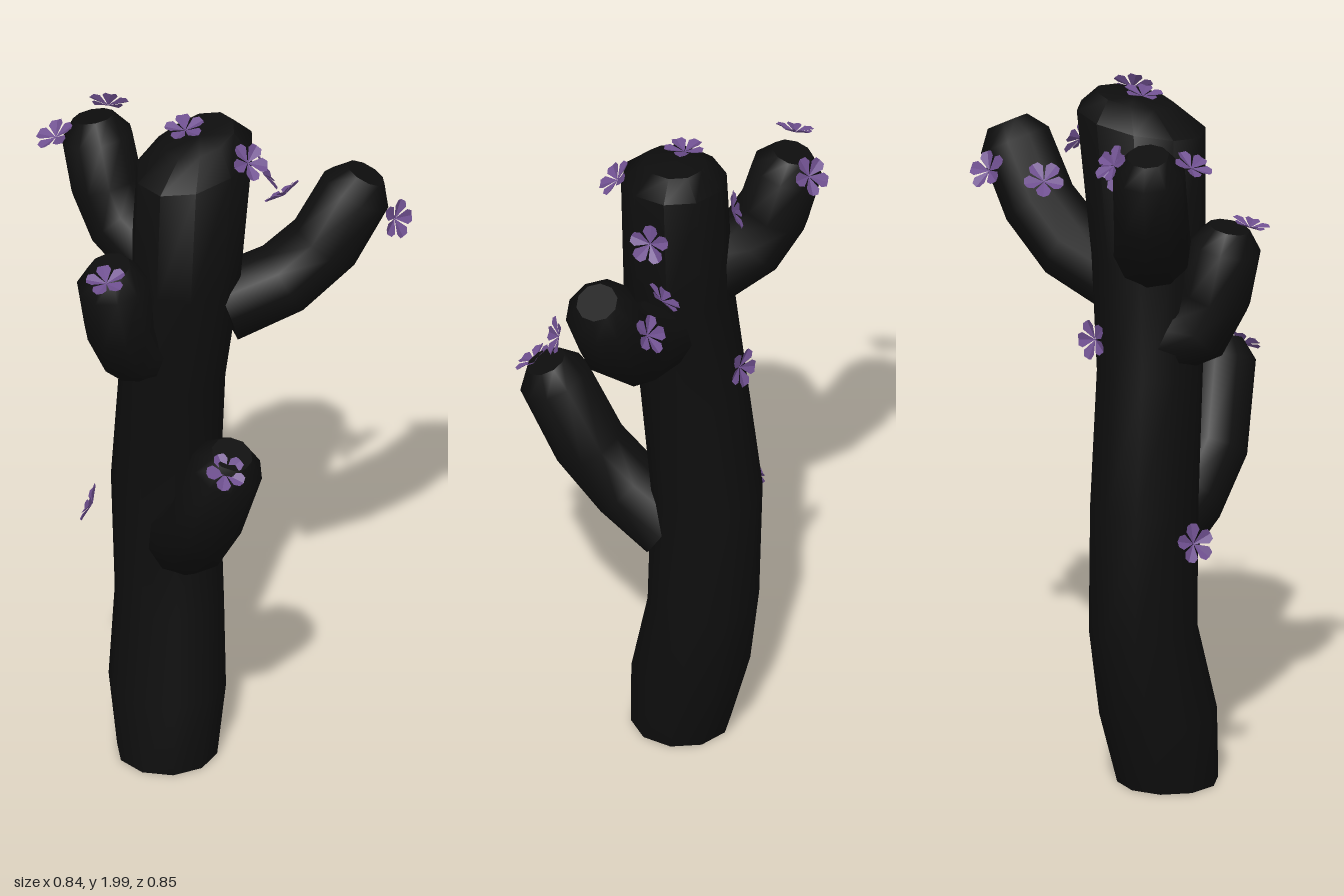
import * as THREE from 'three';
import { toCreasedNormals } from 'three/addons/utils/BufferGeometryUtils.js';

const SIDES = 10;
const UP = new THREE.Vector3(0, 1, 0);
const V = (a) => new THREE.Vector3(...a);

// Skin a row of elliptical rings { c: centre, n: axis, rx, rz }, closed at both ends
function loft(rings) {
  const first = rings[0], last = rings[rings.length - 1];
  const all = [{ ...first, rx: 0, rz: 0 }, ...rings, { ...last, rx: 0, rz: 0 }];
  const pos = [], index = [];
  all.forEach(({ c, n, rx, rz }, i) => {
    const q = new THREE.Quaternion().setFromUnitVectors(UP, n);
    for (let j = 0; j < SIDES; j++) {
      const a = (j / SIDES) * Math.PI * 2;
      const p = new THREE.Vector3(Math.cos(a) * rx, 0, Math.sin(a) * rz).applyQuaternion(q).add(c);
      pos.push(p.x, p.y, p.z);
      if (i === all.length - 1) continue;
      const k = (j + 1) % SIDES, lo = i * SIDES, hi = lo + SIDES;
      if (i > 0) index.push(lo + j, hi + j, lo + k);
      if (i < all.length - 2) index.push(lo + k, hi + j, hi + k);
      if (i === all.length - 2) index.splice(-3, 3, lo + j, hi + j, lo + k);
    }
  });
  const g = new THREE.BufferGeometry();
  g.setAttribute('position', new THREE.Float32BufferAttribute(pos, 3));
  g.setIndex(index);
  return toCreasedNormals(g, 0.9);
}

// Upright stem: rows of x, y, z, rx, rz and forward tilt of the ring
function trunkGeometry() {
  const rows = [
    [-0.028, 0.005, 0.155, 0.138, 0.14, 0],
    [-0.052, 0.21, 0.132, 0.163, 0.163, 0],
    [-0.083, 0.46, 0.095, 0.153, 0.15, 0],
    [-0.093, 0.82, 0.1, 0.153, 0.15, 0],
    [-0.055, 1.2, 0.11, 0.147, 0.147, 0],
    [-0.015, 1.52, 0.1, 0.15, 0.158, 0],
    [0, 1.895, 0.078, 0.145, 0.183, 0.18],
    [0, 1.958, 0.06, 0.085, 0.11, 0.18],
  ];
  return loft(rows.map(([x, y, z, rx, rz, t]) => (
    { c: V([x, y, z]), n: V([0, 1, t]).normalize(), rx, rz })));
}

// Bent arm with a blunt rounded tip
function armGeometry(path, r0, r1) {
  const p = path.map(V), end = p.length - 1;
  const rings = p.map((c, i) => {
    const n = p[Math.min(i + 1, end)].clone().sub(p[Math.max(i - 1, 0)]).normalize();
    const r = THREE.MathUtils.lerp(r0, r1, i / end);
    return { c, n, rx: r, rz: r };
  });
  const tip = rings[end];
  rings.push({ ...tip, c: tip.c.clone().addScaledVector(tip.n, 0.055), rx: r1 * 0.58, rz: r1 * 0.58 });
  return loft(rings);
}

// Five cupped petals, each folded along its midline
function flowerGeometry() {
  const pos = [];
  const half = [[0.012, 0.006], [0.036, 0.021], [0.052, 0.015]]; // distance out, half width
  const lift = (d, w) => 0.006 + d * 0.22 + Math.abs(w) * 0.35;
  for (let k = 0; k < 5; k++) {
    const a = (k / 5) * Math.PI * 2, cs = Math.cos(a), sn = Math.sin(a);
    const put = (d, w) => pos.push(d * cs - w * sn, lift(d, w), d * sn + w * cs);
    for (const s of [-1, 1]) {
      const rim = [...half.map(([d, w]) => [d, w * s]), [0.056, 0]];
      for (let i = 0; i < rim.length - 1; i++) {
        const tri = [[0, 0], rim[i], rim[i + 1]];
        (s > 0 ? tri.reverse() : tri).reverse().forEach(([d, w]) => put(d, w));
      }
    }
  }
  const g = new THREE.BufferGeometry();
  g.setAttribute('position', new THREE.Float32BufferAttribute(pos, 3));
  g.computeVertexNormals();
  return g;
}

export function createModel() {
  const model = new THREE.Group();
  model.name = 'cactus';
  const skin = new THREE.MeshStandardMaterial({ color: 0x0e0e0e });
  const petal = new THREE.MeshStandardMaterial({ color: 0x6f5090, side: THREE.DoubleSide });
  const add = (name, geometry, material) => {
    const mesh = new THREE.Mesh(geometry, material);
    mesh.name = name;
    model.add(mesh);
    return mesh;
  };

  add('trunk', trunkGeometry(), skin);

  // Arms
  const arms = {
    lowerLeftArm: [[0.0, 0.69, 0.12], [0.115, 0.775, 0.19], [0.215, 0.89, 0.24], [0.312, 1.115, 0.25]],
    upperRightArm: [[-0.08, 1.54, 0.12], [-0.22, 1.62, 0.14], [-0.28, 1.715, 0.145], [-0.318, 1.85, 0.145]],
    backArm: [[0.05, 1.42, 0.02], [0.13, 1.475, -0.13], [0.19, 1.575, -0.23], [0.237, 1.735, -0.305]],
    frontArm: [[-0.07, 1.29, 0.14], [-0.07, 1.335, 0.25], [-0.07, 1.42, 0.29], [-0.07, 1.565, 0.32]],
  };
  for (const [name, path] of Object.entries(arms)) add(name, armGeometry(path, 0.108, 0.1), skin);

  // Flowers: position, facing direction
  const flowers = [
    [[-0.03, 1.965, 0.085], [0, 1, 0.15]],
    [[0.155, 1.925, 0.03], [0.7, 0.7, 0]],
    [[0.08, 1.8, -0.095], [0.35, 0.35, -0.8]],
    [[-0.15, 1.79, 0.045], [-1, 0.3, -0.1]],
    [[-0.165, 1.31, -0.02], [-0.75, 0.15, -0.65]],
    [[-0.215, 0.75, 0.25], [-0.75, 0.35, 0.6]],
    [[0.355, 1.13, 0.3], [0.55, 0.75, 0.25]],
    [[-0.03, 1.6, 0.38], [0.1, 0.95, 0.25]],
    [[-0.35, 1.875, 0.265], [-0.2, 0.9, 0.4]],
    [[-0.365, 1.88, 0.06], [-0.5, 0.6, -0.6]],
    [[0.35, 1.68, -0.335], [0.95, 0.25, -0.1]],
    [[0.12, 1.68, -0.355], [-0.6, 0.55, -0.45]],
    [[0.065, 1.675, -0.2], [-0.6, 0.7, 0.1]],
  ];
  const bloom = flowerGeometry();
  flowers.forEach(([at, facing], i) => {
    const f = add('flower', bloom, petal);
    f.position.set(...at);
    f.quaternion.setFromUnitVectors(UP, V(facing).normalize());
    f.rotateY(i * 0.9);
  });
  return model;
}
